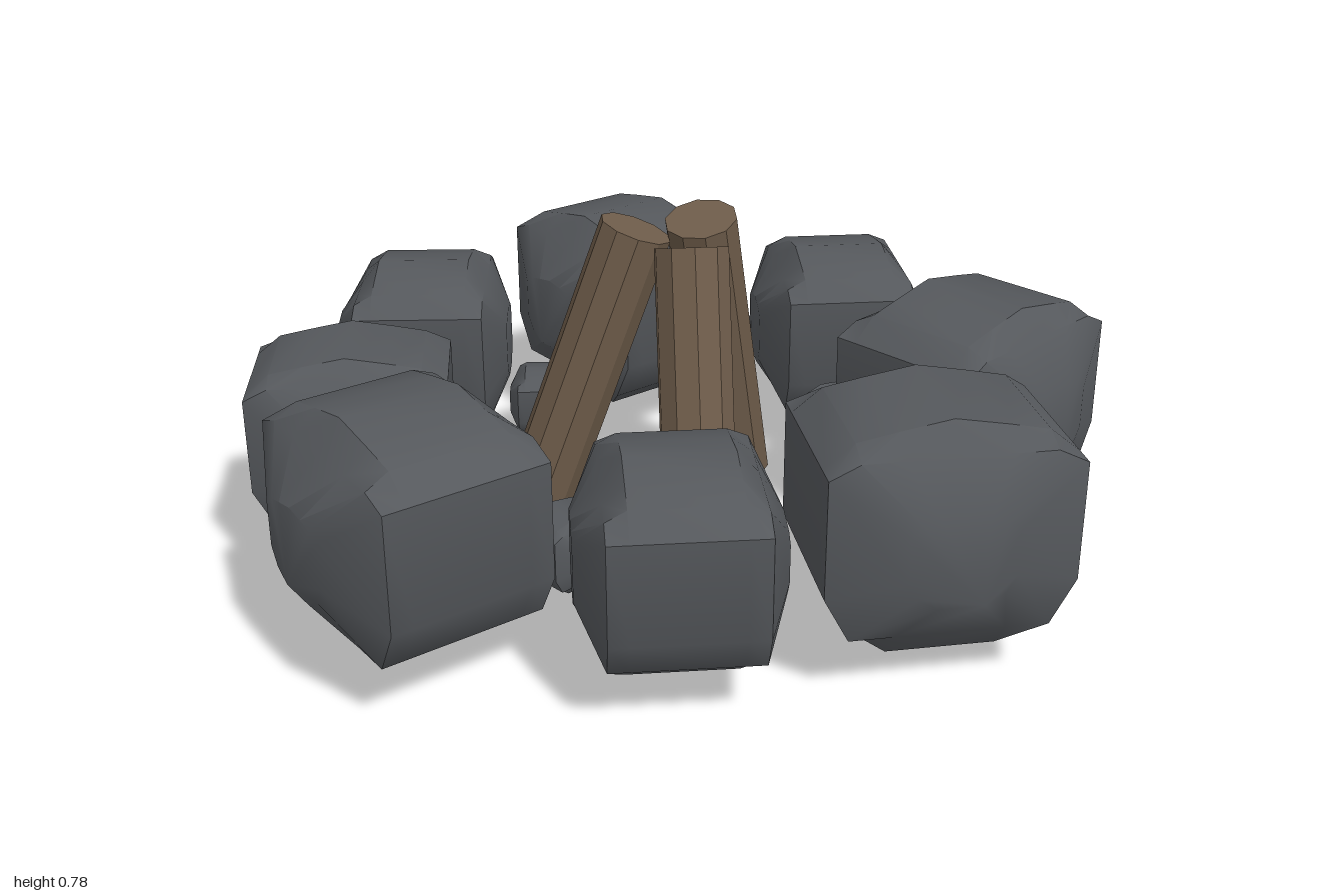
import * as THREE from 'three';
import { toCreasedNormals } from 'three/addons/utils/BufferGeometryUtils.js';

const stoneMat = new THREE.MeshStandardMaterial({ color: 0x55585c });
const woodMat = new THREE.MeshStandardMaterial({ color: 0x6e5c4a, flatShading: true });

// Stone: a domed outline (z, y) lofted along x, with worn shoulders and smaller bulging ends
function stoneGeometry() {
  const side = [[0.1, -0.222], [0.18, -0.165], [0.225, -0.08], [0.225, 0.145], [0.17, 0.19], [0.095, 0.205]];
  const outline = [
    ...side.map(([z, y]) => [-z, y]),
    [0, 0.222],
    ...side.slice().reverse(),
  ];
  // each section: x, z scale, y scale, lowest y, highest y
  const sections = [
    [-0.22, 0.42, 0.38, -1, 1], [-0.16, 1, 1, -0.165, 0.165], [-0.115, 1, 1, -1, 1],
    [0.115, 1, 1, -1, 1], [0.16, 1, 1, -0.165, 0.172], [0.212, 0.42, 0.38, -1, 1],
  ];
  const n = outline.length, pos = [], index = [];
  for (const [x, sz, sy, low, high] of sections)
    for (const [z, y] of outline)
      pos.push(x, THREE.MathUtils.clamp(y * sy, low, high), z * sz);
  for (let i = 0; i < sections.length - 1; i++)
    for (let j = 0; j < n; j++) {
      const a = i * n + j, b = i * n + (j + 1) % n;
      index.push(a, b, b + n, a, b + n, a + n);
    }
  // end caps
  const last = (sections.length - 1) * n;
  for (let j = 1; j < n - 1; j++) {
    index.push(0, j + 1, j);
    index.push(last, last + j, last + j + 1);
  }
  const g = new THREE.BufferGeometry();
  g.setAttribute('position', new THREE.Float32BufferAttribute(pos, 3));
  g.setIndex(index);
  return toCreasedNormals(g, 0.6);
}

// Log: a ten-sided cylinder between its foot and its top
function log(foot, top) {
  const a = new THREE.Vector3(...foot), b = new THREE.Vector3(...top);
  const dir = b.clone().sub(a);
  const mesh = new THREE.Mesh(new THREE.CylinderGeometry(0.087, 0.087, dir.length(), 10), woodMat);
  mesh.position.copy(a).add(b).multiplyScalar(0.5);
  mesh.quaternion.setFromUnitVectors(new THREE.Vector3(0, 1, 0), dir.normalize());
  mesh.name = 'log';
  return mesh;
}

export function createModel() {
  const model = new THREE.Group();
  model.name = 'campfire';
  const geo = stoneGeometry();
  const addStones = (name, list) => {
    const group = new THREE.Group();
    group.name = name + 's';
    for (const [x, y, z, turn, size] of list) {
      const m = new THREE.Mesh(geo, stoneMat);
      m.name = name;
      m.position.set(x, y, z);
      m.rotation.y = THREE.MathUtils.degToRad(turn);
      m.scale.setScalar(size);
      group.add(m);
    }
    model.add(group);
  };

  // Outer ring: x, y, z, turn in degrees, size
  addStones('ringStone', [
    [-0.09, 0.35, -0.652, 33, 1.13],
    [-0.62, 0.317, -0.45, -3.5, 1],
    [0.465, 0.317, -0.465, 0, 1],
    [0.68, 0.35, 0.1, -51, 1.17],
    [0.46, 0.35, 0.64, -86, 1.18],
    [-0.07, 0.317, 0.728, 0, 1],
    [-0.62, 0.35, 0.58, 31.5, 1.17],
    [-0.77, 0.317, 0.07, -90, 1],
  ]);

  // Pebbles inside the ring
  addStones('pebble', [
    [-0.325, 0.19, -0.33, -3, 0.39],
    [-0.535, 0.19, -0.15, 38, 0.27],
    [0.4, 0.19, -0.115, -51, 0.4],
    [0.36, 0.19, 0.32, 30, 0.27],
    [-0.29, 0.19, 0.45, -51, 0.4],
  ]);

  // Three logs leaning together
  const logs = new THREE.Group();
  logs.name = 'logs';
  logs.add(
    log([0.015, 0.03, 0.37], [0.015, 0.75, 0.115]),
    log([-0.36, 0.03, -0.032], [-0.1, 0.75, -0.032]),
    log([0.167, 0.027, -0.227], [0.055, 0.76, -0.057]),
  );
  model.add(logs);
  return model;
}
